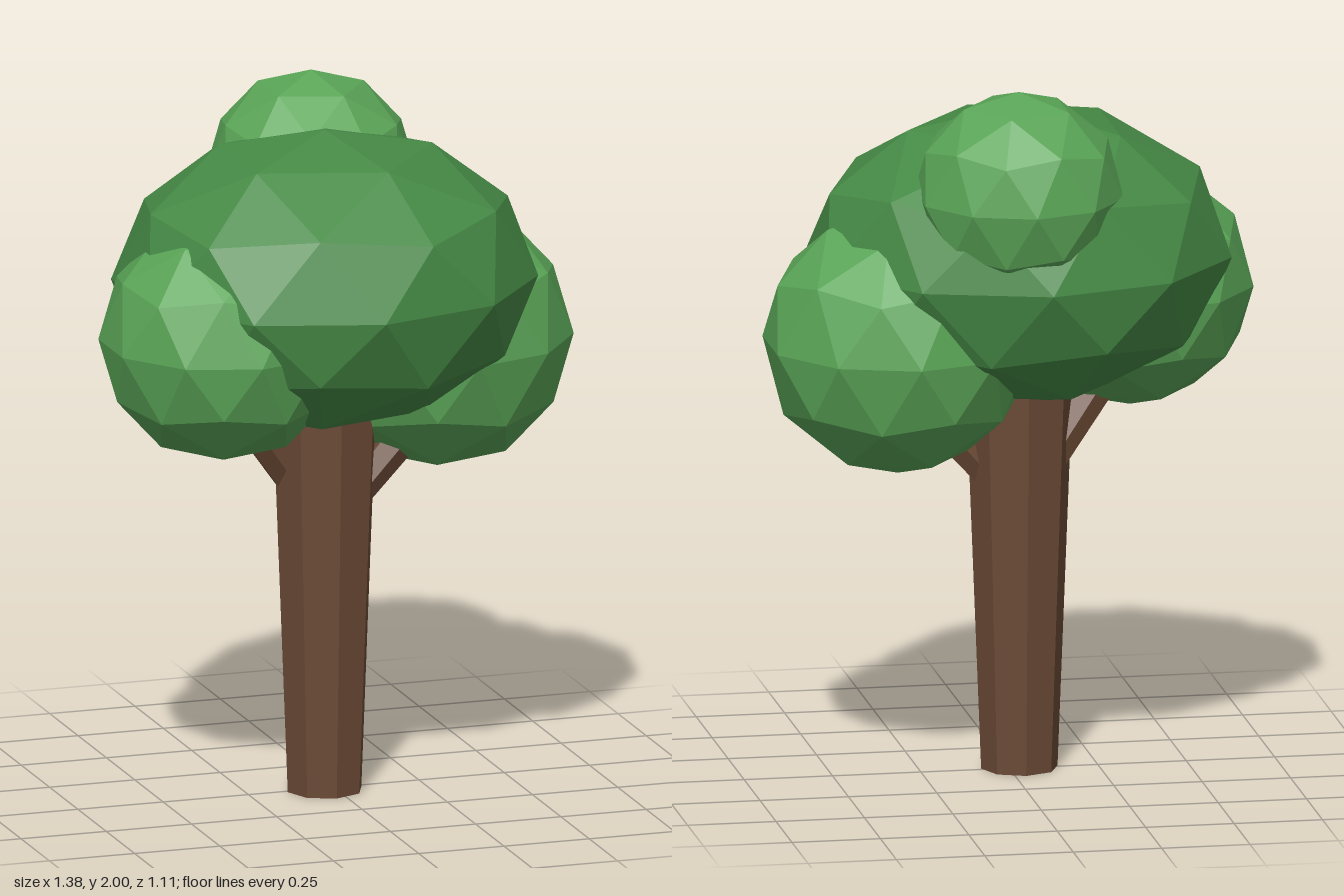
import * as THREE from 'three';

const bark = new THREE.MeshStandardMaterial({ color: 0x6b4a35, flatShading: true });
const darkLeaf = new THREE.MeshStandardMaterial({ color: 0x468a46, flatShading: true });
const lightLeaf = new THREE.MeshStandardMaterial({ color: 0x5aa557, flatShading: true });

// Faceted leaf clump, turned so that one corner points straight up
function clump(name, material, position, radii) {
  const geometry = new THREE.IcosahedronGeometry(1, 1);
  geometry.rotateZ(-Math.atan(2 / (1 + Math.sqrt(5))));
  geometry.scale(...radii);
  geometry.computeVertexNormals();
  const mesh = new THREE.Mesh(geometry, material);
  mesh.name = name;
  mesh.position.set(...position);
  return mesh;
}

// Tapered limb running from one point to another
function limb(name, from, to, rFrom, rTo, sides) {
  const a = new THREE.Vector3(...from);
  const axis = new THREE.Vector3(...to).sub(a);
  const mesh = new THREE.Mesh(
    new THREE.CylinderGeometry(rTo, rFrom, axis.length(), sides), bark);
  mesh.name = name;
  mesh.position.copy(a).addScaledVector(axis, 0.5);
  mesh.quaternion.setFromUnitVectors(new THREE.Vector3(0, 1, 0), axis.normalize());
  return mesh;
}

export function createModel() {
  const tree = new THREE.Group();
  tree.name = 'tree';

  // Trunk, widening towards the crown, and two side branches
  tree.add(
    limb('trunk', [-0.03, 0, 0.01], [-0.03, 1.2, 0.01], 0.108, 0.155, 8),
    limb('leftBranch', [-0.01, 0.77, 0.01], [0.3, 1.12, 0.01], 0.045, 0.06, 6),
    limb('rightBranch', [-0.04, 0.78, -0.03], [-0.31, 1.16, 0.05], 0.045, 0.055, 6)
  );

  // Crown: a broad main clump with three smaller ones around it
  tree.add(
    clump('mainCrown', darkLeaf, [-0.03, 1.475, 0.01], [0.6, 0.425, 0.543]),
    clump('leftCrown', lightLeaf, [0.33, 1.26, -0.08], [0.38, 0.38, 0.38]),
    clump('rightCrown', lightLeaf, [-0.36, 1.35, 0.11], [0.348, 0.348, 0.348]),
    clump('topCrown', lightLeaf, [0.02, 1.705, -0.26], [0.295, 0.295, 0.295])
  );
  return tree;
}
